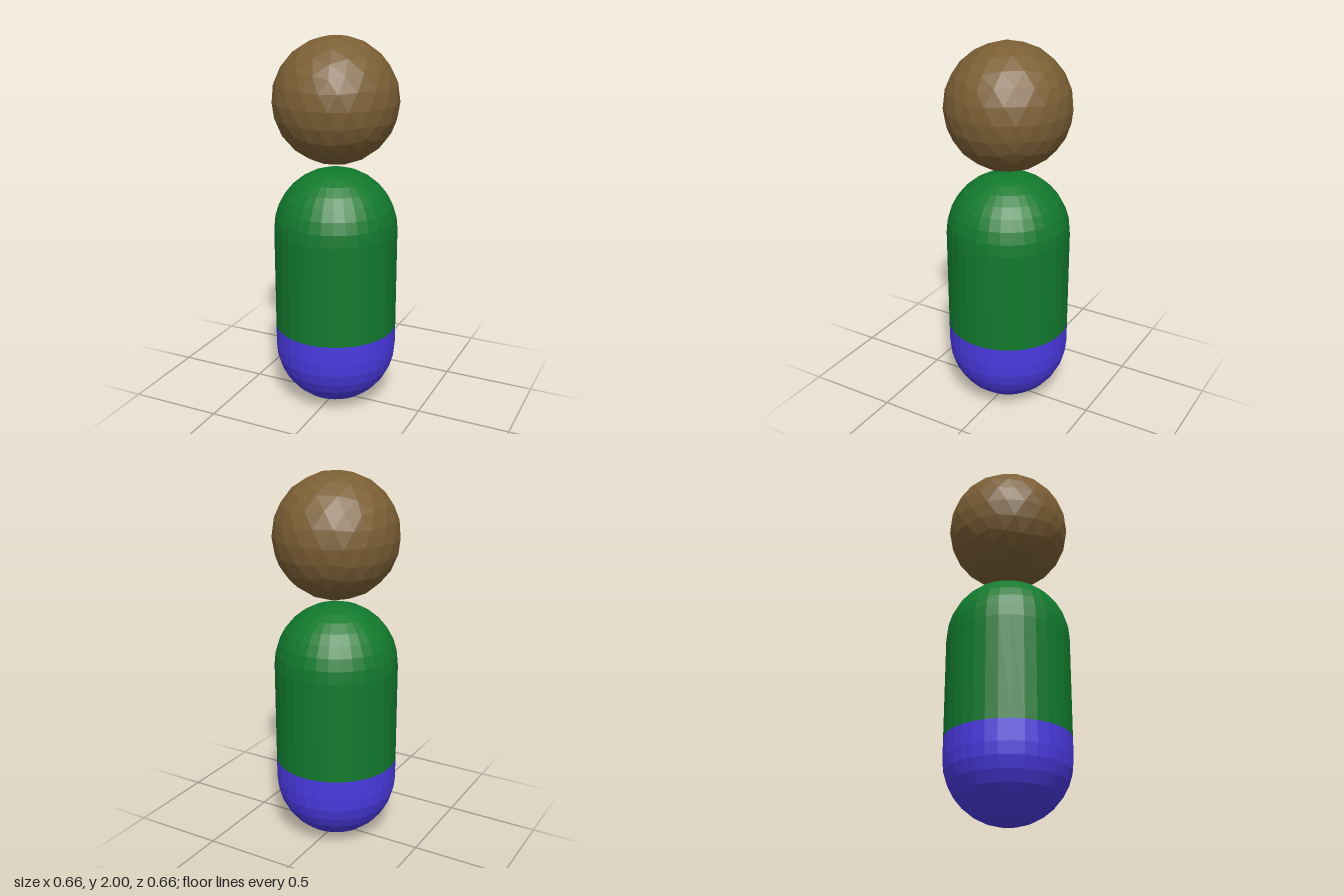
import * as THREE from 'three';

const R = 0.329;          // shared radius of body and head
const BODY_TOP = 4 * R;   // capsule is twice as tall as wide
const SPLIT = 0.44;       // where the lower colour ends
const SIDES = 32, RINGS = 8;

function addMesh(group, name, geometry, color) {
  const material = new THREE.MeshStandardMaterial({ color, flatShading: true });
  const mesh = new THREE.Mesh(geometry, material);
  mesh.name = name;
  group.add(mesh);
  return mesh;
}

// Quarter-circle profile around a cap centre, from angle a0 to a1
function arc(centreY, a0, a1) {
  return Array.from({ length: RINGS + 1 }, (_, i) => {
    const a = a0 + ((a1 - a0) * i) / RINGS;
    return new THREE.Vector2(Math.max(0, R * Math.cos(a)), centreY + R * Math.sin(a));
  });
}

export function createModel() {
  const model = new THREE.Group();
  model.name = 'figure';
  const seam = new THREE.Vector2(R, SPLIT);

  // Lower body: rounded bottom up to the colour seam
  const lower = [...arc(R, -Math.PI / 2, 0), seam];
  addMesh(model, 'lowerBody', new THREE.LatheGeometry(lower, SIDES), 0x4b3ae2);

  // Upper body: straight wall and domed top
  const upper = [seam, ...arc(BODY_TOP - R, 0, Math.PI / 2)];
  addMesh(model, 'upperBody', new THREE.LatheGeometry(upper, SIDES), 0x127a2d);

  // Head: faceted ball floating above the body, turned so a corner points up
  const ball = new THREE.IcosahedronGeometry(R, 3);
  ball.rotateZ(-Math.atan(2 / (1 + Math.sqrt(5))));
  const head = addMesh(model, 'head', ball, 0x7c5f35);
  head.position.y = 2 - R;

  return model;
}
